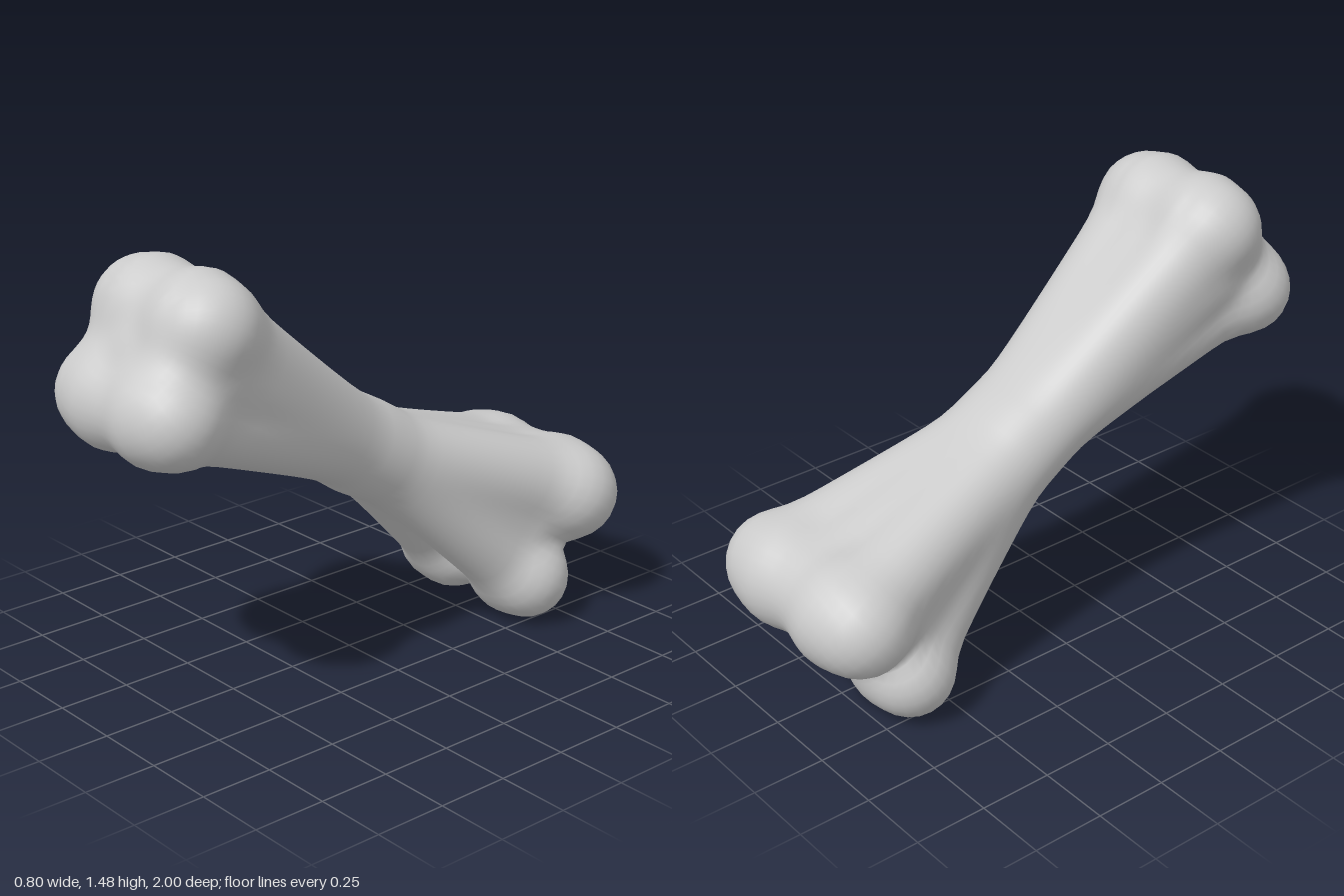
import * as THREE from 'three';

const V = (x, y, z) => new THREE.Vector3(x, y, z);

// Tapered limbs from a (radius ra) to b (radius rb), blended into one smooth body
const limbs = [];
const limb = (a, ra, b, rb) => limbs.push({ a, ra, ab: b.clone().sub(a), dr: rb - ra });

const MID_R = 0.114;
const mid = (x) => V(x, 0.718, -0.035); // narrowest point of the shaft

// Knob pairs: y, z, inner x and radius, outer x and radius, bridge radius, ridge radius
const knobPairs = [
  [1.30, 0.68, 0.12, 0.165, 0.17, 0.145, 0.13, 0.143],
  [1.05, 0.83, 0.12, 0.158, 0.19, 0.14, 0.14, 0.125],
  [0.42, -0.82, 0.15, 0.174, 0.24, 0.155, 0.13, 0.162],
  [0.15, -0.63, 0.15, 0.146, 0.225, 0.138, 0.085, 0.13],
];
for (const [y, z, xi, ri, xo, ro, bridge, ridge] of knobPairs) {
  for (const s of [-1, 1]) {
    limb(V(s * xi, y, z), ri, V(s * xo, y, z), ro);
    limb(mid(s * 0.06), MID_R, V(s * (xi + xo) / 2, y, z), ridge);
  }
  limb(V(-xi, y, z), bridge, V(xi, y, z), bridge);
}
for (const s of [-1, 1]) {
  // Flanks that fill the sides between the ridges
  limb(mid(s * 0.06), MID_R, V(s * 0.13, 1.15, 0.66), 0.15);
  limb(mid(s * 0.06), MID_R, V(s * 0.14, 0.34, -0.63), 0.15);
  // Walls joining the upper and lower knobs on the end faces
  limb(V(s * 0.13, 1.28, 0.7), 0.135, V(s * 0.14, 1.08, 0.82), 0.135);
  limb(V(s * 0.12, 0.4, -0.79), 0.12, V(s * 0.12, 0.19, -0.65), 0.12);
}
// Cores of the two ends and the flat upper side
limb(mid(0), MID_R, V(0, 1.17, 0.72), 0.18);
limb(mid(0), MID_R, V(0, 0.32, -0.69), 0.18);
limb(mid(0), MID_R, V(0, 1.29, 0.67), 0.135);
limb(mid(0), MID_R, V(0, 0.43, -0.81), 0.15);

// Smoothly blended distance to all limbs
const K = 0.022, tmp = V(0, 0, 0);
function distance(p) {
  let sum = 0;
  for (const { a, ra, ab, dr } of limbs) {
    tmp.copy(p).sub(a);
    const t = THREE.MathUtils.clamp(tmp.dot(ab) / ab.lengthSq(), 0, 1);
    sum += Math.exp(-(tmp.addScaledVector(ab, -t).length() - ra - dr * t) / K);
  }
  return -K * Math.log(sum);
}

function gradient(p) {
  const e = 0.006;
  const g = [V(e, 0, 0), V(0, e, 0), V(0, 0, e)].map(
    (o) => distance(p.clone().add(o)) - distance(p.clone().sub(o)));
  return V(...g).normalize();
}

function boneGeometry() {
  const A = V(0, 0.36, -0.6), B = V(0, 1.14, 0.62);
  const axis = B.clone().sub(A).normalize();
  const e1 = V(1, 0, 0), e2 = axis.clone().cross(e1);
  const CAP = 18, SHAFT = 26, SEG = 64;

  // Rows of rays: round cap, straight shaft, round cap
  const rows = [];
  for (let i = 0; i <= CAP; i++) rows.push([A, (i / CAP - 1) * Math.PI / 2]);
  for (let i = 1; i < SHAFT; i++) rows.push([A.clone().lerp(B, i / SHAFT), 0]);
  for (let i = 0; i <= CAP; i++) rows.push([B, (i / CAP) * Math.PI / 2]);

  const pos = [], nor = [], idx = [];
  rows.forEach(([origin, tilt], i) => {
    for (let j = 0; j < SEG; j++) {
      const th = (j / SEG) * Math.PI * 2;
      const dir = e1.clone().multiplyScalar(Math.cos(th)).addScaledVector(e2, Math.sin(th))
        .multiplyScalar(Math.cos(tilt)).addScaledVector(axis, Math.sin(tilt));
      // Walk along the ray until it meets the skin
      const p = origin.clone();
      for (let n = 0; n < 40; n++) p.addScaledVector(dir, -0.7 * distance(p));
      pos.push(p.x, p.y, p.z);
      nor.push(...gradient(p).toArray());
      if (i < rows.length - 1) {
        const a = i * SEG + j, b = i * SEG + (j + 1) % SEG;
        idx.push(a, b, a + SEG, b, b + SEG, a + SEG);
      }
    }
  });
  const g = new THREE.BufferGeometry();
  g.setAttribute('position', new THREE.Float32BufferAttribute(pos, 3));
  g.setAttribute('normal', new THREE.Float32BufferAttribute(nor, 3));
  g.setIndex(idx);

  // Centre over the origin, standing on the floor
  g.computeBoundingBox();
  const { min, max } = g.boundingBox;
  return g.translate(0, -min.y, -(min.z + max.z) / 2);
}

export function createModel() {
  const group = new THREE.Group();
  group.name = 'bone';
  const mesh = new THREE.Mesh(boneGeometry(), new THREE.MeshStandardMaterial({ color: 0xcccccc }));
  mesh.name = 'boneBody';
  group.add(mesh);
  return group;
}
